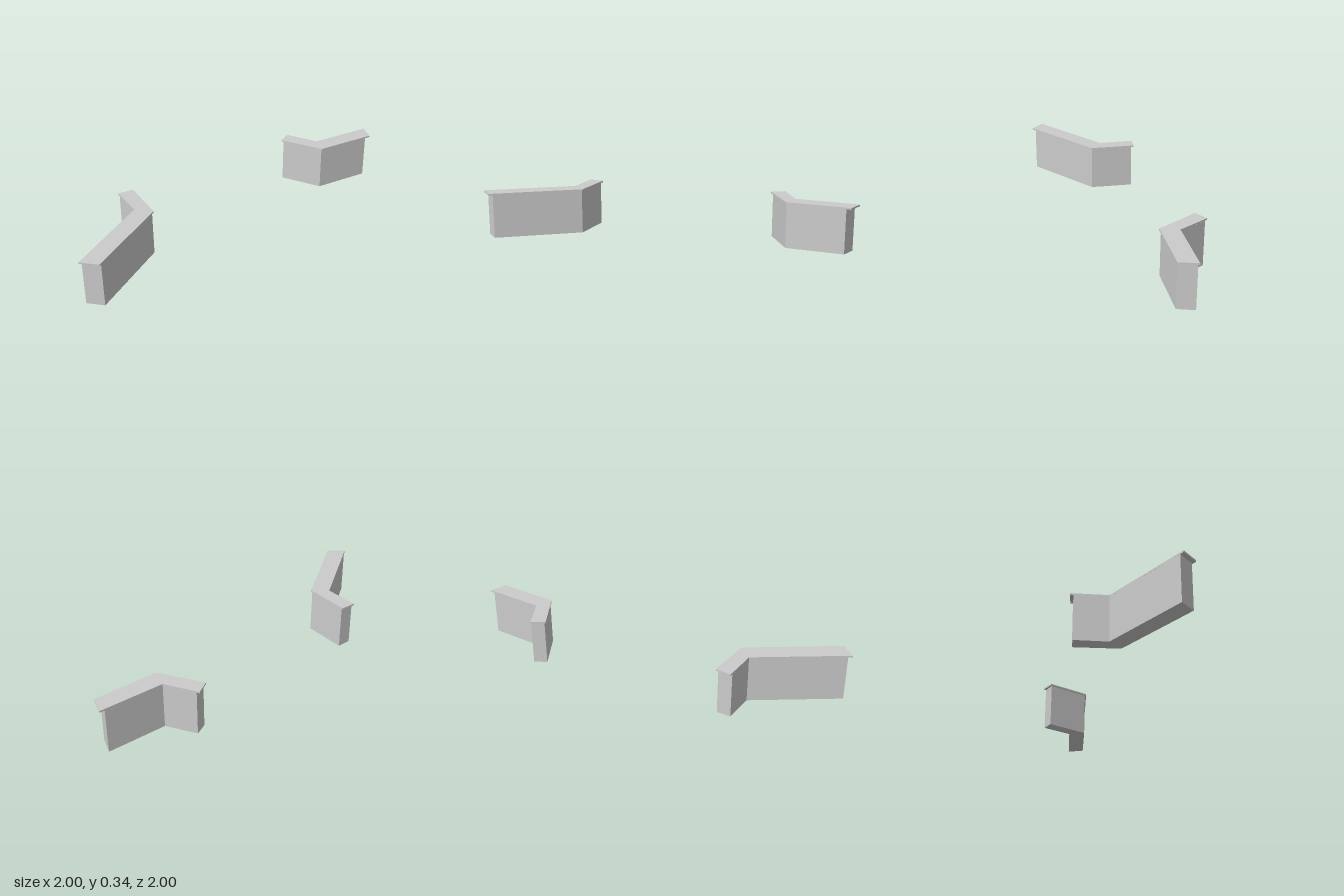
import * as THREE from 'three';

const BODY_HEIGHT = 0.33;
const CAP_HEIGHT = 0.012;

// Plan outlines as [x, z] corners; caps overhang the outer face and ends.
const WALLS = [
  {
    name: 'rightWall',
    body: [[-0.988, 0.947], [-0.86, 0.967], [-0.613, 0.347], [-0.783, 0.075], [-0.87, 0.132], [-0.739, 0.327]],
    cap: [[-1, 0.975], [-0.864, 0.997], [-0.602, 0.346], [-0.784, 0.055], [-0.883, 0.112], [-0.739, 0.327]],
  },
  {
    name: 'leftWall',
    body: [[0.355, -0.859], [0.567, -0.756], [0.932, -0.981], [0.964, -0.861], [0.602, -0.636], [0.306, -0.773]],
    cap: [[0.336, -0.868], [0.567, -0.756], [0.962, -1], [1, -0.871], [0.604, -0.625], [0.288, -0.769]],
  },
];

// Upright prism over a plan outline
function prism(name, outline, base, height, material) {
  const shape = new THREE.Shape(outline.map(([x, z]) => new THREE.Vector2(x, -z)));
  const geometry = new THREE.ExtrudeGeometry(shape, { depth: height, bevelEnabled: false });
  geometry.rotateX(-Math.PI / 2);
  const mesh = new THREE.Mesh(geometry, material);
  mesh.name = name;
  mesh.position.y = base;
  return mesh;
}

export function createModel() {
  const model = new THREE.Group();
  model.name = 'angledWalls';
  const material = new THREE.MeshStandardMaterial({ color: 0xcccccc, flatShading: true });
  for (const { name, body, cap } of WALLS) {
    const wall = new THREE.Group();
    wall.name = name;
    wall.add(prism('wallBody', body, 0, BODY_HEIGHT, material));
    wall.add(prism('wallCap', cap, BODY_HEIGHT, CAP_HEIGHT, material));
    model.add(wall);
  }
  return model;
}
